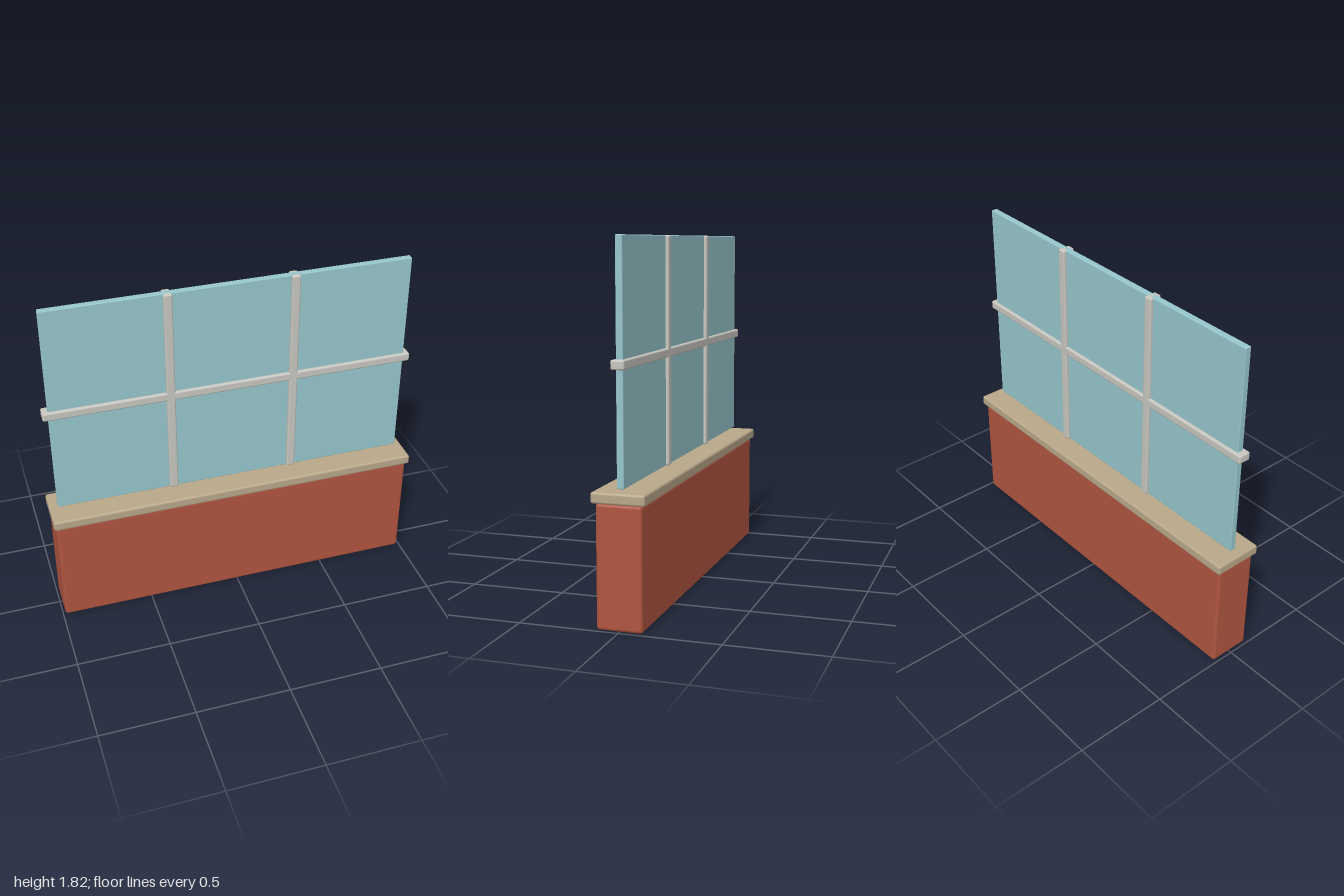
import * as THREE from 'three';
import { RoundedBoxGeometry } from 'three/addons/geometries/RoundedBoxGeometry.js';

export function createModel() {
  const group = new THREE.Group();
  const material = (name, color) => {
    const m = new THREE.MeshStandardMaterial({ color });
    m.name = name;
    return m;
  };
  const brick = material('brick red', 0xb05540);
  const stone = material('sandstone', 0xb8a88a);
  const glass = material('pale blue glass', 0x96c6cc);
  const metal = material('light grey frame', 0xc8c6c0);

  // Softly bevelled block spanning y0..y1, centred on z = 0
  const block = (name, mat, width, y0, y1, depth, bevel, x = 0) => {
    const geometry = new RoundedBoxGeometry(width, y1 - y0, depth, 2, bevel);
    const mesh = new THREE.Mesh(geometry, mat);
    mesh.name = name;
    mesh.position.set(x, (y0 + y1) / 2, 0);
    group.add(mesh);
  };

  // Low wall and its coping
  block('wall', brick, 1.974, 0, 0.603, 0.228, 0.016);
  block('sill', stone, 2, 0.603, 0.658, 0.266, 0.012);

  // Glazing with a grid of bars
  block('windowPane', glass, 1.912, 0.67, 1.825, 0.035, 0.005);
  block('horizontalBar', metal, 1.974, 1.221, 1.267, 0.068, 0.009);
  for (const side of [-1, 1]) {
    block(side > 0 ? 'leftMullion' : 'rightMullion', metal, 0.046, 0.67, 1.825, 0.068, 0.009, side * 0.329);
  }
  return group;
}
